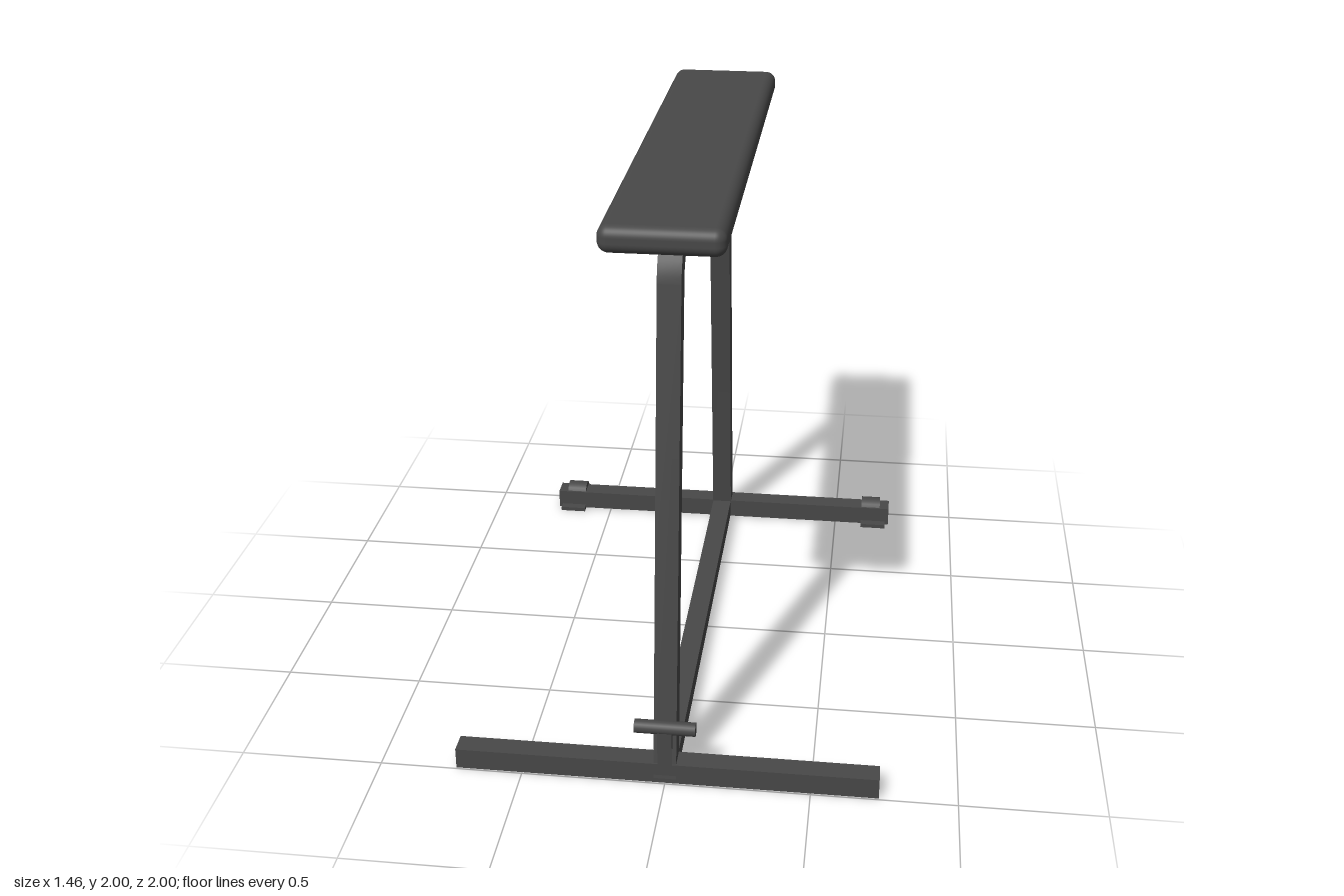
import * as THREE from 'three';
import { toCreasedNormals } from 'three/addons/utils/BufferGeometryUtils.js';
import { RoundedBoxGeometry } from 'three/addons/geometries/RoundedBoxGeometry.js';

export function createModel() {
  const model = new THREE.Group();
  model.name = 'paddedBeamStand';
  const darkGrey = new THREE.MeshStandardMaterial({ color: 0x484848 });
  darkGrey.name = 'dark grey';

  const add = (name, geometry, x, y, z) => {
    const mesh = new THREE.Mesh(geometry, darkGrey);
    mesh.name = name;
    mesh.position.set(x, y, z);
    model.add(mesh);
    return mesh;
  };
  const box = (name, w, h, d, x, y, z) => add(name, new THREE.BoxGeometry(w, h, d), x, y, z);
  const rodAlongX = (name, radius, length, x, y, z) =>
    add(name, new THREE.CylinderGeometry(radius, radius, length, 24).rotateZ(Math.PI / 2), x, y, z);

  // Padded top
  add('paddedTop', new RoundedBoxGeometry(0.395, 0.09, 1.914, 5, 0.036), 0, 1.955, 0.013);

  // Bent square tube: two leaning legs joined by rounded corners
  const lean = 0.12, bend = 0.135, half = 0.0375, steps = 10;
  const cornerZ = 0.605, cornerY = 1.735;
  const side = (offset) => {
    const points = [];
    const r = bend + offset;
    const z0 = cornerZ + r * Math.cos(lean), y0 = cornerY + r * Math.sin(lean);
    points.push([z0 + (y0 - 0.02) * Math.tan(lean), 0.02]);
    for (let i = 0; i <= steps; i++) {
      const a = lean + (Math.PI / 2 - lean) * i / steps;
      points.push([cornerZ + r * Math.cos(a), cornerY + r * Math.sin(a)]);
    }
    const mirrored = points.map(([z, y]) => [-z, y]).reverse();
    return [...points, ...mirrored];
  };
  const outline = [...side(half), ...side(-half).reverse()].map(([z, y]) => new THREE.Vector2(z, y));
  const frame = new THREE.ExtrudeGeometry(new THREE.Shape(outline), { depth: 0.078, bevelEnabled: false });
  frame.translate(0, 0, -0.039).rotateY(-Math.PI / 2);
  add('bentFrame', toCreasedNormals(frame, 0.5), 0, 0, 0.012);

  // Floor rail and cross bars
  box('floorRail', 0.076, 0.07, 1.85, 0, 0.045, 0.006);
  box('frontCrossBar', 1.464, 0.076, 0.078, 0, 0.04, 0.957);
  box('rearCrossBar', 1.464, 0.076, 0.078, 0, 0.04, -0.941);

  // Foot plates and transport wheels
  for (const s of [-1, 1]) {
    box('frontFoot', 0.105, 0.016, 0.1, s * 0.665, 0.008, 0.925);
    box('rearFoot', 0.105, 0.016, 0.1, s * 0.665, 0.008, -0.918);
    rodAlongX('transportWheel', 0.047, 0.08, s * 0.653, 0.056, -0.951);
  }

  // Lifting handle on the front leg
  rodAlongX('handleGrip', 0.024, 0.21, 0, 0.217, 0.975);
  box('handleStem', 0.05, 0.15, 0.022, 0, 0.135, 0.985);

  return model;
}
